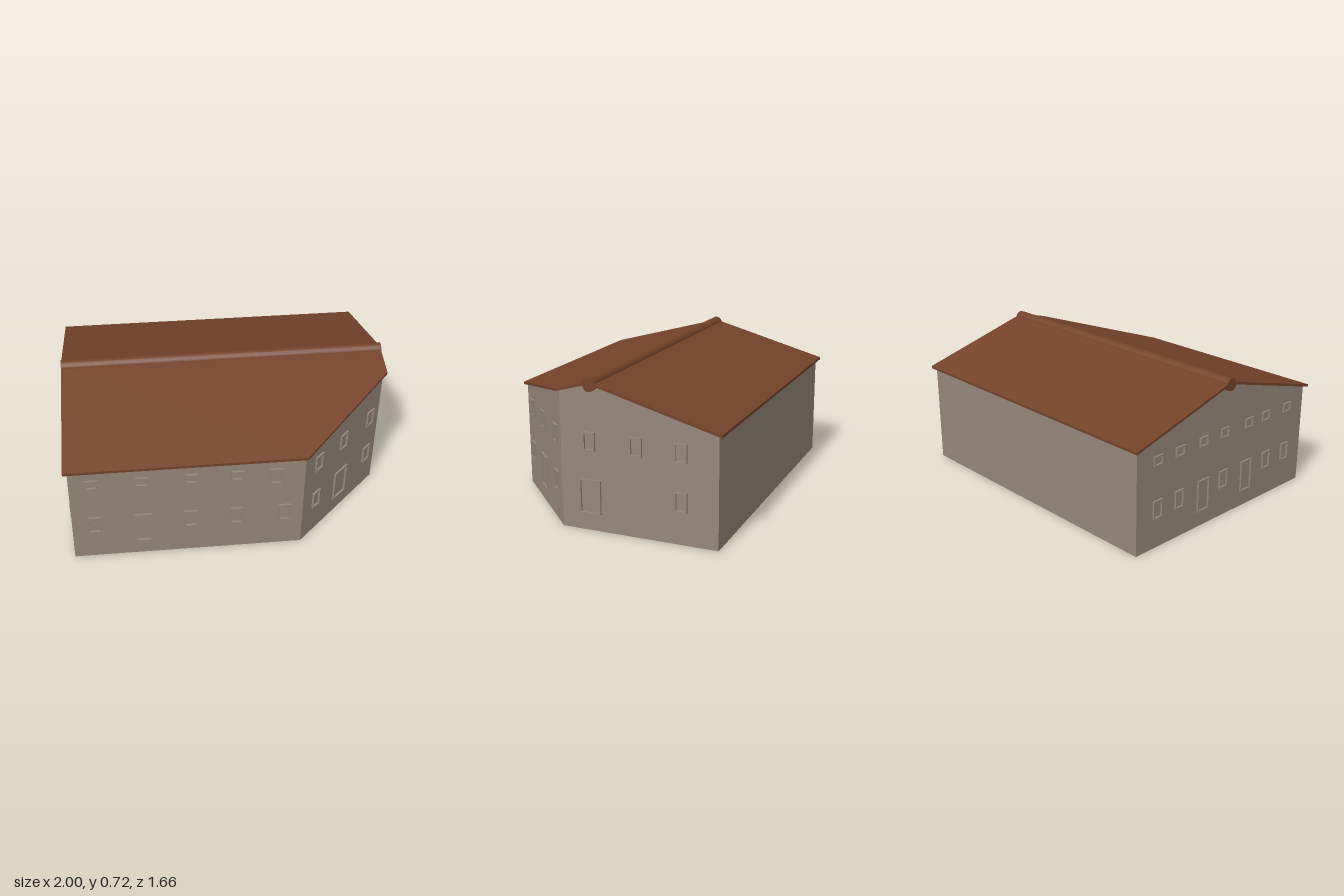
import * as THREE from 'three';

const RIDGE_Z = 0.11, RIDGE_Y = 0.7, SLOPE = 0.274, SLAB = 0.013;
const roofY = z => RIDGE_Y - SLOPE * Math.abs(z - RIDGE_Z);

const wallMat = new THREE.MeshStandardMaterial({ name: 'stone plaster', color: 0x968779, side: THREE.DoubleSide });
const roofMat = new THREE.MeshStandardMaterial({ name: 'brown tile', color: 0x74432a });

// A thin ring standing proud on both sides of its wall
function openingFrame(s, [w, y0, y1]) {
  const rect = (P, m) => new P([[-w / 2 + m, y0 + m], [w / 2 - m, y0 + m], [w / 2 - m, y1 - m], [-w / 2 + m, y1 - m]]
    .map(([x, y]) => new THREE.Vector2(x, y)));
  const shape = rect(THREE.Shape, 0);
  shape.holes.push(rect(THREE.Path, 0.007));
  const mesh = new THREE.Mesh(new THREE.ExtrudeGeometry(shape, { depth: 0.02, bevelEnabled: false }), wallMat);
  mesh.position.set(s, 0, -0.01);
  mesh.name = y0 < 0.1 ? 'doorFrame' : 'windowFrame';
  return mesh;
}

// One upright wall from p to q, its top following the underside of the roof
function wall(name, p, q, openings) {
  const dx = q[0] - p[0], dz = q[1] - p[1], len = Math.hypot(dx, dz);
  const top = t => new THREE.Vector2(t * len, roofY(p[1] + dz * t) - SLAB);
  const pts = [new THREE.Vector2(0, 0), new THREE.Vector2(len, 0), top(1)];
  const peak = dz ? (RIDGE_Z - p[1]) / dz : -1;
  if (peak > 0 && peak < 1) pts.push(top(peak));
  pts.push(top(0));
  const group = new THREE.Group();
  group.name = name;
  const face = new THREE.Mesh(new THREE.ShapeGeometry(new THREE.Shape(pts)), wallMat);
  face.name = name + 'Face';
  group.add(face);
  for (const [type, places] of openings)
    for (const t of places) group.add(openingFrame(t * len, type));
  group.position.set(p[0], 0, p[1]);
  group.rotation.y = Math.atan2(-dz, dx);
  return group;
}

// Sloping slab over a plan outline
function roofSlab(name, outline) {
  const shape = new THREE.Shape(outline.map(([x, z]) => new THREE.Vector2(x, -z)));
  const geo = new THREE.ExtrudeGeometry(shape, { depth: SLAB, bevelEnabled: false });
  geo.rotateX(-Math.PI / 2);
  const pos = geo.attributes.position;
  for (let i = 0; i < pos.count; i++) pos.setY(i, pos.getY(i) + roofY(pos.getZ(i)) - SLAB);
  geo.computeVertexNormals();
  const mesh = new THREE.Mesh(geo, roofMat);
  mesh.name = name;
  return mesh;
}

export function createModel() {
  const model = new THREE.Group();
  model.name = 'house';
  const house = new THREE.Group();
  house.name = 'turnedHouse';
  house.rotation.y = -0.676;
  model.add(house);

  // Opening types: width, bottom, top
  const small = [0.058, 0.417, 0.467], tall = [0.058, 0.38, 0.467];
  const lower = [0.058, 0.152, 0.245], door = [0.08, 0.08, 0.245], wideDoor = [0.105, 0.08, 0.245];

  // Walls around the five-sided plan
  const A = [-0.68, 0.711], E = [0.402, 0.711], D = [0.856, 0.267], C = [0.856, -0.491], B = [-0.68, -0.491];
  house.add(
    wall('frontWall', A, E, [[small, [0.096, 0.305, 0.515, 0.71]], [tall, [0.875]],
      [lower, [0.096, 0.51, 0.71, 0.92]], [door, [0.305]]]),
    wall('cornerWall', E, D, [[tall, [0.17, 0.5, 0.87]], [lower, [0.17, 0.87]], [wideDoor, [0.5]]]),
    wall('rightGable', D, C, [[tall, [0.19, 0.49, 0.77]], [lower, [0.77]], [wideDoor, [0.19]]]),
    wall('backWall', C, B, []),
    wall('leftGable', B, A, [[small, [0.11, 0.23, 0.365, 0.49, 0.64, 0.75, 0.89]],
      [lower, [0.11, 0.23, 0.49, 0.765, 0.89]], [door, [0.37, 0.635]]])
  );

  // Roof slopes
  const x0 = -0.699, x1 = 0.874;
  house.add(
    roofSlab('frontRoof', [[x0, RIDGE_Z], [x0, 0.729], [0.407, 0.729], [x1, 0.274], [x1, RIDGE_Z]]),
    roofSlab('backRoof', [[x0, RIDGE_Z], [x1, RIDGE_Z], [x1, -0.51], [x0, -0.51]])
  );

  // Rounded ridge cap
  const cap = new THREE.Mesh(new THREE.CylinderGeometry(0.032, 0.032, x1 - x0, 20), roofMat);
  cap.name = 'ridgeCap';
  cap.rotation.z = Math.PI / 2;
  cap.position.set((x0 + x1) / 2, 0.685, RIDGE_Z);
  house.add(cap);

  return model;
}
